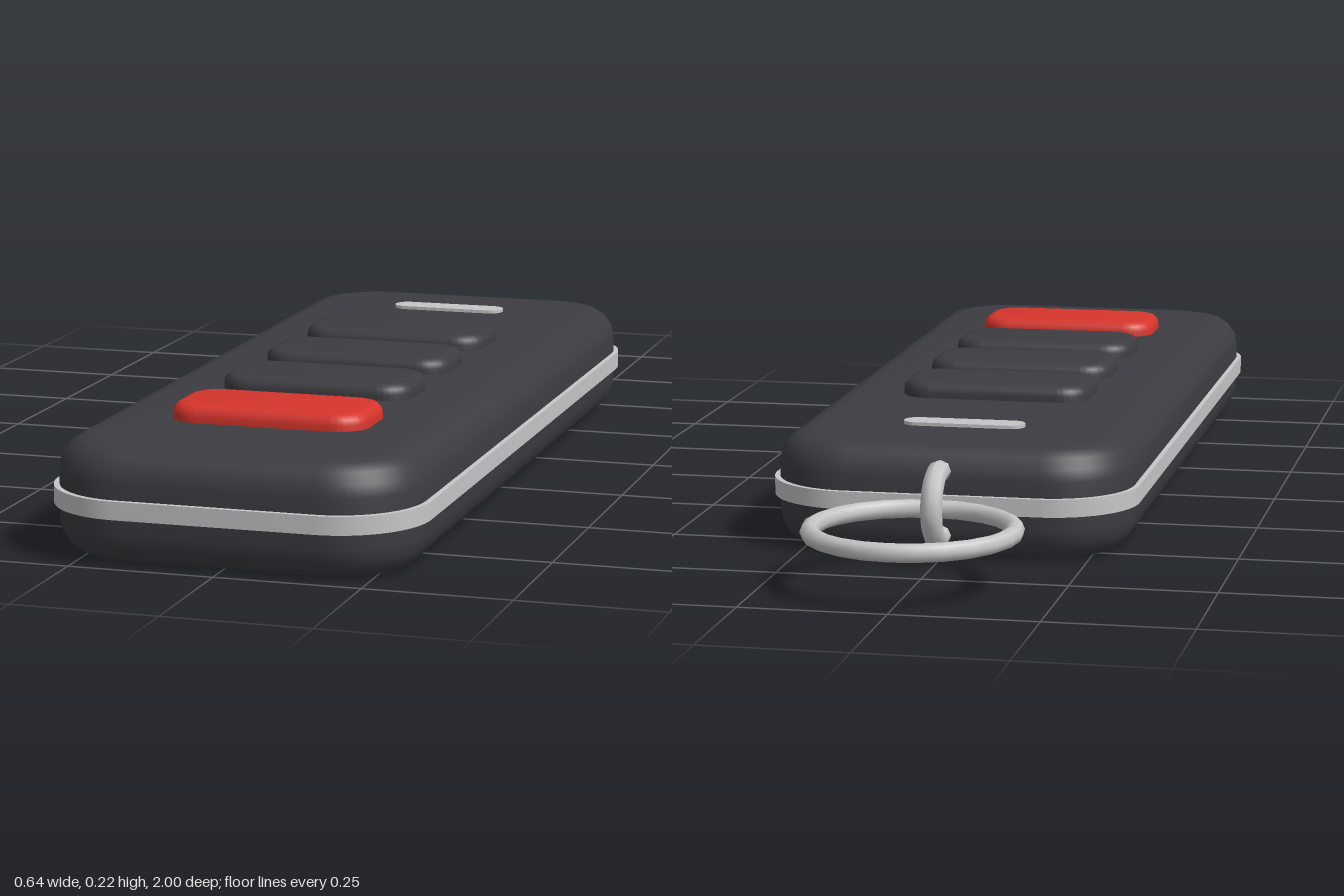
import * as THREE from 'three';
import { toCreasedNormals } from 'three/addons/utils/BufferGeometryUtils.js';

const material = (name, color) => {
  const m = new THREE.MeshStandardMaterial({ color });
  m.name = name;
  return m;
};

// Rounded rectangle centred on the origin
function roundedRect(w, d, r) {
  const x = w / 2, y = d / 2, s = new THREE.Shape();
  s.absarc(x - r, y - r, r, 0, Math.PI / 2);
  s.absarc(-x + r, y - r, r, Math.PI / 2, Math.PI);
  s.absarc(-x + r, -y + r, r, Math.PI, Math.PI * 1.5);
  s.absarc(x - r, -y + r, r, Math.PI * 1.5, Math.PI * 2);
  s.closePath();
  return s;
}

// Upright slab of outer size w x h x d with its base on y = 0;
// topOnly sinks the lower bevel below the base
function slab(w, h, d, r, bevel, segments) {
  const geo = new THREE.ExtrudeGeometry(roundedRect(w - 2 * bevel, d - 2 * bevel, r - bevel), {
    depth: h - 2 * bevel,
    bevelEnabled: bevel > 0,
    bevelSize: bevel,
    bevelThickness: bevel,
    bevelSegments: segments,
    curveSegments: 8,
  });
  geo.translate(0, 0, bevel);
  geo.rotateX(-Math.PI / 2);
  return toCreasedNormals(geo, 0.7);
}

export function createModel() {
  const model = new THREE.Group();
  const charcoal = material('charcoal plastic', 0x3d3c42);
  const red = material('red button plastic', 0xd6352c);
  const silver = material('silver metal', 0xc6c6c8);

  const add = (name, geo, mat, x, y, z) => {
    const mesh = new THREE.Mesh(geo, mat);
    mesh.name = name;
    mesh.position.set(x, y, z);
    model.add(mesh);
    return mesh;
  };

  // Case and the trim band around its seam
  add('case', slab(0.626, 0.195, 1.59, 0.145, 0.055, 4), charcoal, 0, 0, 0.195);
  add('trimBand', slab(0.644, 0.031, 1.608, 0.152, 0, 1), silver, 0, 0.082, 0.195);

  // Buttons, partly sunk into the top face
  const buttonGeo = slab(0.346, 0.058, 0.172, 0.055, 0.018, 3);
  [-0.07, 0.166, 0.403].forEach((z, i) => add('button' + (i + 1), buttonGeo, charcoal, 0, 0.165, z));
  add('redButton', buttonGeo, red, 0, 0.165, 0.665);

  // Indicator strip
  add('indicatorStrip', slab(0.216, 0.009, 0.05, 0.0245, 0, 1), silver, 0, 0.192, -0.394);

  // Fixing loop and key ring
  const loop = add('fixingLoop', new THREE.TorusGeometry(0.058, 0.019, 8, 20), silver, 0, 0.0975, -0.612);
  loop.rotation.y = Math.PI / 2;
  const ring = add('keyRing', new THREE.TorusGeometry(0.17, 0.016, 8, 24), silver, 0, 0.0975, -0.814);
  ring.rotation.x = Math.PI / 2;

  return model;
}
